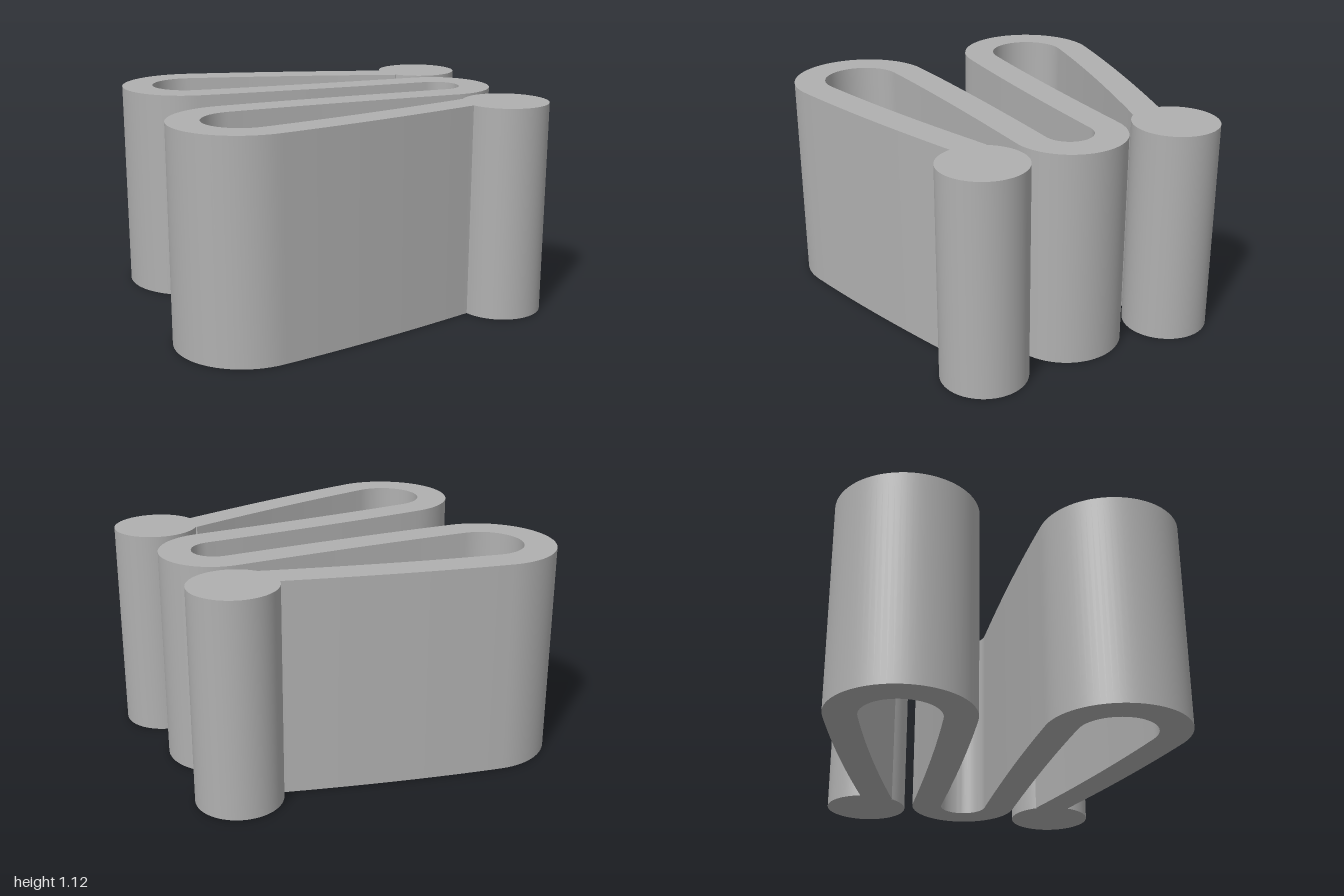
import * as THREE from 'three';
import { toCreasedNormals } from 'three/addons/utils/BufferGeometryUtils.js';

const HEIGHT = 1.12;
const HALF_WALL = 0.083;
const BULB = { x: 0.778, y: 0.549, r: 0.222 };

const V = (x, y) => new THREE.Vector2(x, y);
const mirror = (pts) => pts.map((p) => V(p.x, -p.y)).reverse();

// Centre line of one half: end arm, wide loop, inner run, half of the middle bend
function halfCentreLine() {
  const loop = V(-0.63, 0.532), r = 0.286, a = 0.2, b = 0.07;
  const armEnd = V(loop.x + r * Math.sin(a), loop.y + r * Math.cos(a));
  const runStart = V(loop.x - r * Math.sin(b), loop.y - r * Math.cos(b));
  return [
    [new THREE.QuadraticBezierCurve(V(0.7, 0.474), V(0, 0.698), armEnd), 80],
    [new THREE.EllipseCurve(loop.x, loop.y, r, r, Math.PI / 2 - a, 1.5 * Math.PI - b, false), 40],
    [new THREE.QuadraticBezierCurve(runStart, V(-0.12, 0.21), V(0.645, 0.21)), 20],
    [new THREE.EllipseCurve(0.645, 0, 0.21, 0.21, Math.PI / 2, 0, true), 20],
  ];
}

// One edge of the strip, offset from the centre line and trimmed at the round end
function halfEdge(side) {
  const pts = [];
  halfCentreLine().forEach(([curve, n], k) => {
    for (let i = k ? 1 : 0; i <= n; i++) {
      const p = curve.getPoint(i / n), t = curve.getTangent(i / n);
      const q = V(p.x - t.y * side * HALF_WALL, p.y + t.x * side * HALF_WALL);
      if (Math.hypot(q.x - BULB.x, q.y - BULB.y) > BULB.r) pts.push(q);
    }
  });
  return pts;
}

// Arc of the round end, running the long way from the outer edge to the inner one
function bulbArc(from, to) {
  const angle = (p) => Math.atan2(p.y - BULB.y, p.x - BULB.x);
  const a = angle(from), b = angle(to), pts = [];
  for (let i = 0; i <= 56; i++) {
    const t = a + ((b - a) * i) / 56;
    pts.push(V(BULB.x + BULB.r * Math.cos(t), BULB.y + BULB.r * Math.sin(t)));
  }
  return pts;
}

export function createModel() {
  const group = new THREE.Group();
  group.name = 'foldedSpring';
  const grey = new THREE.MeshStandardMaterial({ color: 0xb0b0b0 });
  grey.name = 'plain grey';

  // Closed outline of the strip with its two round ends
  const inner = halfEdge(1), outer = halfEdge(-1);
  const arc = bulbArc(outer[0], inner[0]);
  const half = [...arc, ...inner];
  const outline = [...half, ...mirror(half).slice(1), ...mirror(outer).reverse(), ...[...outer].reverse().slice(1)];

  const solid = new THREE.ExtrudeGeometry(new THREE.Shape(outline), { depth: HEIGHT, bevelEnabled: false });
  solid.rotateX(-Math.PI / 2);
  const strip = new THREE.Mesh(toCreasedNormals(solid, Math.PI / 6), grey);
  strip.name = 'foldedStrip';
  group.add(strip);
  return group;
}
